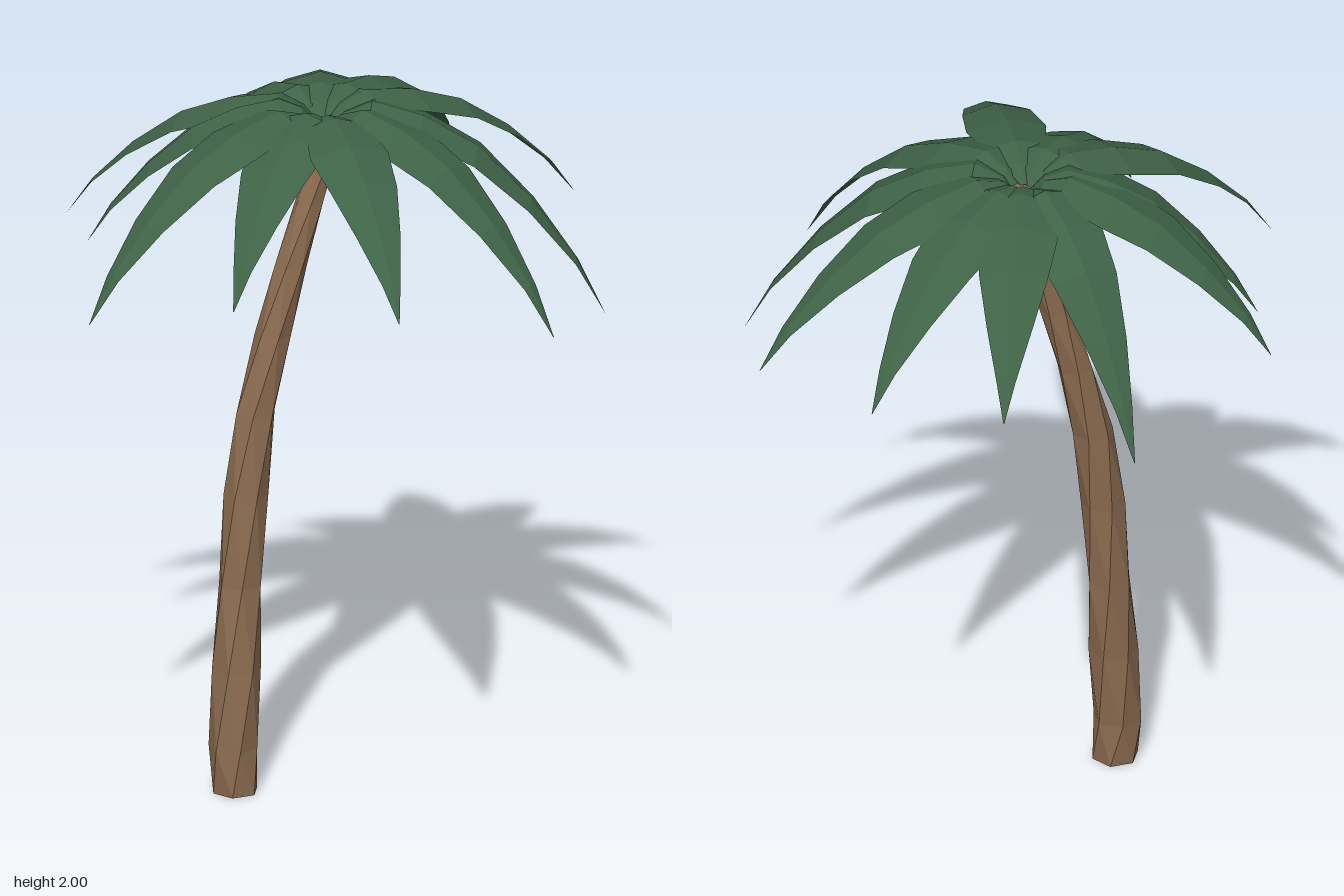
import * as THREE from 'three';

const bark = new THREE.MeshStandardMaterial({ color: 0x8c6c50 });
bark.name = 'bark brown';
const leaf = new THREE.MeshStandardMaterial({ color: 0x3f6347, side: THREE.DoubleSide });
leaf.name = 'leaf green';

// Faceted surface through rows of points; closed rows wrap round
function loft(rows, closed, capStart) {
  const pos = [];
  const tri = (...pts) => pts.forEach((p) => pos.push(p.x, p.y, p.z));
  const n = rows[0].length;
  const count = closed ? n : n - 1;
  for (let j = 0; j < count; j++) {
    const k = (j + 1) % n;
    for (let i = 0; i < rows.length - 1; i++) {
      const a = rows[i][j], b = rows[i][k], c = rows[i + 1][k], d = rows[i + 1][j];
      if (closed) { tri(a, d, c); tri(a, c, b); }
      else { tri(a, b, c); tri(a, c, d); }
    }
    if (capStart && j > 0 && j < n - 1) tri(rows[0][0], rows[0][j], rows[0][k]);
  }
  const geo = new THREE.BufferGeometry();
  geo.setAttribute('position', new THREE.Float32BufferAttribute(pos, 3));
  geo.computeVertexNormals();
  return geo;
}

// Leaning, twisted six-sided trunk: x, y, z, radius of each ring
function makeTrunk() {
  const rings = [
    [-0.29, 0, -0.02, 0.066], [-0.295, 0.13, -0.025, 0.069],
    [-0.28, 0.36, -0.035, 0.069], [-0.263, 0.6, -0.05, 0.063],
    [-0.243, 0.86, -0.055, 0.062], [-0.212, 1.1, -0.06, 0.058],
    [-0.16, 1.32, -0.06, 0.051], [-0.105, 1.52, -0.06, 0.046],
    [-0.05, 1.7, -0.06, 0.041], [0.01, 1.88, -0.06, 0.034],
  ];
  const rows = rings.map(([x, y, z, r], i) => Array.from({ length: 6 }, (_, j) => {
    const a = (j / 6) * Math.PI * 2 - i * 0.42;
    return new THREE.Vector3(x + r * Math.cos(a), y, z + r * Math.sin(a));
  }));
  const mesh = new THREE.Mesh(loft(rows, true, true), bark);
  mesh.name = 'trunk';
  return mesh;
}

// Knob where the fronds join the trunk
function makeKnob() {
  const profile = [[0, -0.045], [0.04, -0.035], [0.052, -0.005], [0.036, 0.03], [0, 0.04]]
    .map(([r, y]) => new THREE.Vector2(r, y));
  const geo = new THREE.LatheGeometry(profile, 6).toNonIndexed();
  geo.computeVertexNormals();
  const mesh = new THREE.Mesh(geo, bark);
  mesh.name = 'crownKnob';
  mesh.position.set(0, 1.9, -0.06);
  return mesh;
}

// Arched frond with a raised midrib: [reach, fall, half width] per section
const sections = [
  [0.015, 0.17, 0.01], [0.08, 0.06, 0.045], [0.18, 0, 0.085], [0.36, 0.063, 0.112],
  [0.55, 0.2, 0.095], [0.74, 0.45, 0.062], [0.9, 0.74, 0.026], [1, 1, 0.001],
];
const hub = new THREE.Vector3(-0.015, 1.997, -0.06);

function makeFrond([x, y, z]) {
  const reach = new THREE.Vector3(x - hub.x, 0, z - hub.z);
  const side = new THREE.Vector3(-reach.z, 0, reach.x).normalize();
  const drop = hub.y - y;
  const rows = sections.map(([s, fall, w]) => {
    const mid = hub.clone().addScaledVector(reach, s);
    mid.y -= drop * fall;
    return [-1, 0, 1].map((k) => {
      const p = mid.clone().addScaledVector(side, k * w);
      p.y -= Math.abs(k) * w * 0.3;
      return p;
    });
  });
  const mesh = new THREE.Mesh(loft(rows, false, false), leaf);
  mesh.name = 'frond';
  return mesh;
}

export function createModel() {
  const model = new THREE.Group();
  model.name = 'palmTree';
  model.add(makeTrunk(), makeKnob());

  // Frond tips round the crown
  const tips = [
    [-0.1, 1.44, -0.77], [0.275, 1.63, -0.75], [0.59, 1.6, -0.54], [0.795, 1.56, -0.17],
    [0.68, 1.39, 0.315], [0.395, 1.47, 0.62], [-0.13, 1.64, 0.76], [-0.475, 1.6, 0.4],
    [-0.8, 1.52, 0.145], [-0.605, 1.57, -0.325], [-0.57, 1.57, -0.55],
  ];
  const crown = new THREE.Group();
  crown.name = 'crown';
  tips.forEach((tip) => crown.add(makeFrond(tip)));
  model.add(crown);
  return model;
}
